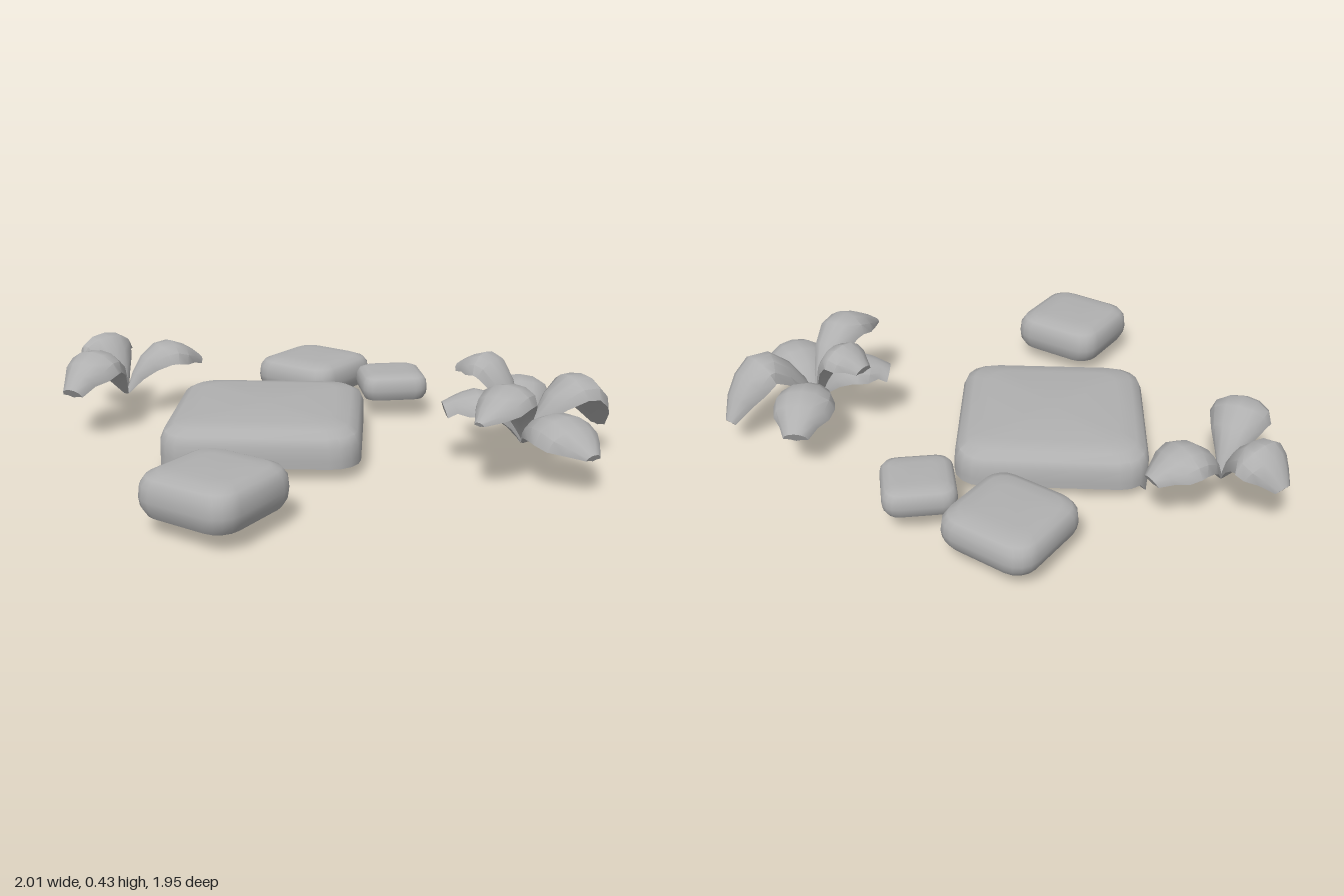
import * as THREE from 'three';
import { toCreasedNormals } from 'three/addons/utils/BufferGeometryUtils.js';

const stoneGrey = new THREE.MeshStandardMaterial({ color: 0xb0b0b0 });
stoneGrey.name = 'stone grey';

// Skin a list of equal-length rings and close both ends with fans.
function loft(rings, crease) {
  const n = rings[0].length, pos = [], idx = [];
  rings.flat().forEach(p => pos.push(p.x, p.y, p.z));
  for (let r = 0; r < rings.length - 1; r++) {
    for (let i = 0; i < n; i++) {
      const j = (i + 1) % n, a = r * n, b = a + n;
      idx.push(a + i, a + j, b + j, a + i, b + j, b + i);
    }
  }
  [0, rings.length - 1].forEach(r => {
    const c = new THREE.Vector3();
    rings[r].forEach(p => c.addScaledVector(p, 1 / n));
    const centre = pos.length / 3;
    pos.push(c.x, c.y, c.z);
    for (let i = 0; i < n; i++) {
      const a = r * n + i, b = r * n + (i + 1) % n;
      if (r === 0) idx.push(centre, b, a);
      else idx.push(centre, a, b);
    }
  });
  const geo = new THREE.BufferGeometry();
  geo.setAttribute('position', new THREE.Float32BufferAttribute(pos, 3));
  geo.setIndex(idx);
  return toCreasedNormals(geo, crease);
}

// Rounded square ring, turned about y.
function squareRing(x, z, y, half, radius, turn) {
  const ring = [], seg = 4, c = Math.cos(turn), d = Math.sin(turn);
  for (let q = 0; q < 4; q++) {
    const mid = Math.PI / 4 + q * Math.PI / 2;
    const k = (half - radius) * Math.SQRT2;
    for (let s = 0; s <= seg; s++) {
      const a = (q + s / seg) * Math.PI / 2;
      const u = k * Math.cos(mid) + radius * Math.cos(a);
      const v = k * Math.sin(mid) + radius * Math.sin(a);
      ring.push(new THREE.Vector3(x + u * c - v * d, y, z - (u * d + v * c)));
    }
  }
  return ring;
}

// Stone from a profile of [height, scale] pairs.
function stone(name, x, z, half, radius, degrees, profile) {
  const turn = THREE.MathUtils.degToRad(degrees);
  const rings = profile.map(([y, s]) => squareRing(x, z, y, half * s, radius * s, turn));
  return { name, rings };
}

// Hollow-bottomed profile for the small stones.
const smallProfile = (y0, y1) => [[0.5, 0.46], [0, 0.56], [0, 0.9], [0.2, 0.98], [0.4, 1],
  [0.7, 0.98], [0.88, 0.9], [0.97, 0.75], [1, 0.5]].map(([t, s]) => [y0 + t * (y1 - y0), s]);

// Puffy arching leaf: rises from the root, peaks and droops to a blunt tip.
function leaf(root, { tip, peak, width, bend = 0, blunt = 0.2 }) {
  const end = new THREE.Vector3(...tip);
  const flat = new THREE.Vector3(end.x - root.x, 0, end.z - root.z);
  const across = new THREE.Vector3(flat.z, 0, -flat.x).normalize();
  const at = (t, y) => new THREE.Vector3(root.x, y, root.z).addScaledVector(flat, t)
    .addScaledVector(across, bend * Math.sin(t * Math.PI));
  const curve = new THREE.CatmullRomCurve3([root, at(0.2, root.y + 0.66 * (peak - root.y)),
    at(0.52, peak), at(0.8, peak - 0.35 * (peak - end.y)), end]);
  const widths = [0.1, 0.42, 0.72, 0.94, 1, 0.9, 0.62, blunt];
  const section = [[1, -0.7], [0.85, -0.32], [0.45, -0.07], [0, 0], [-0.45, -0.07], [-0.85, -0.32],
    [-1, -0.7], [-0.5, -0.72], [0, -0.9], [0.5, -0.72]];
  const rings = widths.map((w, i) => {
    const t = i / (widths.length - 1), p = curve.getPoint(t), T = curve.getTangent(t);
    const S = new THREE.Vector3(0, 1, 0).cross(T).normalize();
    // lean each section towards the sky so the top face stays open
    const N = T.clone().cross(S).add(new THREE.Vector3(0, 0.5, 0)).normalize();
    return section.map(([u, v]) => p.clone().addScaledVector(S, u * w * width)
      .addScaledVector(N, v * w * width));
  });
  return loft(rings, 0.75);
}

function plant(name, root, leaves) {
  const group = new THREE.Group();
  group.name = name;
  leaves.forEach((spec, i) => {
    const mesh = new THREE.Mesh(leaf(new THREE.Vector3(...root), spec), stoneGrey);
    mesh.name = `leaf${i + 1}`;
    group.add(mesh);
  });
  return group;
}

export function createModel() {
  const model = new THREE.Group();
  model.name = 'steppingStonesWithPlants';

  // Large flat stone
  const large = stone('largeStone', -0.265, -0.055, 0.393, 0.12, -27,
    [[0.05, 0.9], [0.05, 1], [0.08, 1], [0.13, 0.995], [0.165, 0.96], [0.188, 0.87], [0.2, 0.7]]);
  // Two chipped points under its rim
  [[-0.74, 0.05], [-0.47, -0.52]].forEach(([x, z]) => {
    const near = large.rings[1].reduce((a, b) =>
      Math.hypot(a.x - x, a.z - z) < Math.hypot(b.x - x, b.z - z) ? a : b);
    near.y = 0;
  });

  // All stones
  [
    large,
    stone('backStone', 0.2, -0.635, 0.209, 0.09, 30, smallProfile(0.07, 0.21)),
    stone('littleStone', 0.43, -0.29, 0.146, 0.06, -17, smallProfile(0.09, 0.2)),
    stone('frontStone', -0.73, 0.645, 0.209, 0.09, 32, smallProfile(0.07, 0.225)),
  ].forEach(({ name, rings }) => {
    const mesh = new THREE.Mesh(loft(rings, 0.7), stoneGrey);
    mesh.name = name;
    model.add(mesh);
  });

  // Six-leaf plant at the front left
  model.add(plant('largePlant', [0.58, 0.1, 0.55], [
    { tip: [0.79, 0.2, 0.16], peak: 0.3, width: 0.13, blunt: 0.4 },
    { tip: [0.99, 0.12, 0.5], peak: 0.36, width: 0.12, bend: -0.05, blunt: 0.25 },
    { tip: [0.61, 0.17, 0.97], peak: 0.27, width: 0.135, blunt: 0.25 },
    { tip: [0.21, 0.3, 0.81], peak: 0.4, width: 0.105, bend: 0.03, blunt: 0.2 },
    { tip: [0.44, 0.37, 0.28], peak: 0.43, width: 0.105, blunt: 0.4 },
    { tip: [0.28, 0.26, 0.43], peak: 0.31, width: 0.11, blunt: 0.6 },
  ]));

  // Three-leaf plant at the back right
  model.add(plant('smallPlant', [-0.69, 0.12, -0.69], [
    { tip: [-0.77, 0.23, -0.98], peak: 0.36, width: 0.13, blunt: 0.3 },
    { tip: [-0.33, 0.24, -0.73], peak: 0.33, width: 0.12, blunt: 0.35 },
    { tip: [-0.99, 0.23, -0.44], peak: 0.36, width: 0.125, blunt: 0.4 },
  ]));
  return model;
}
